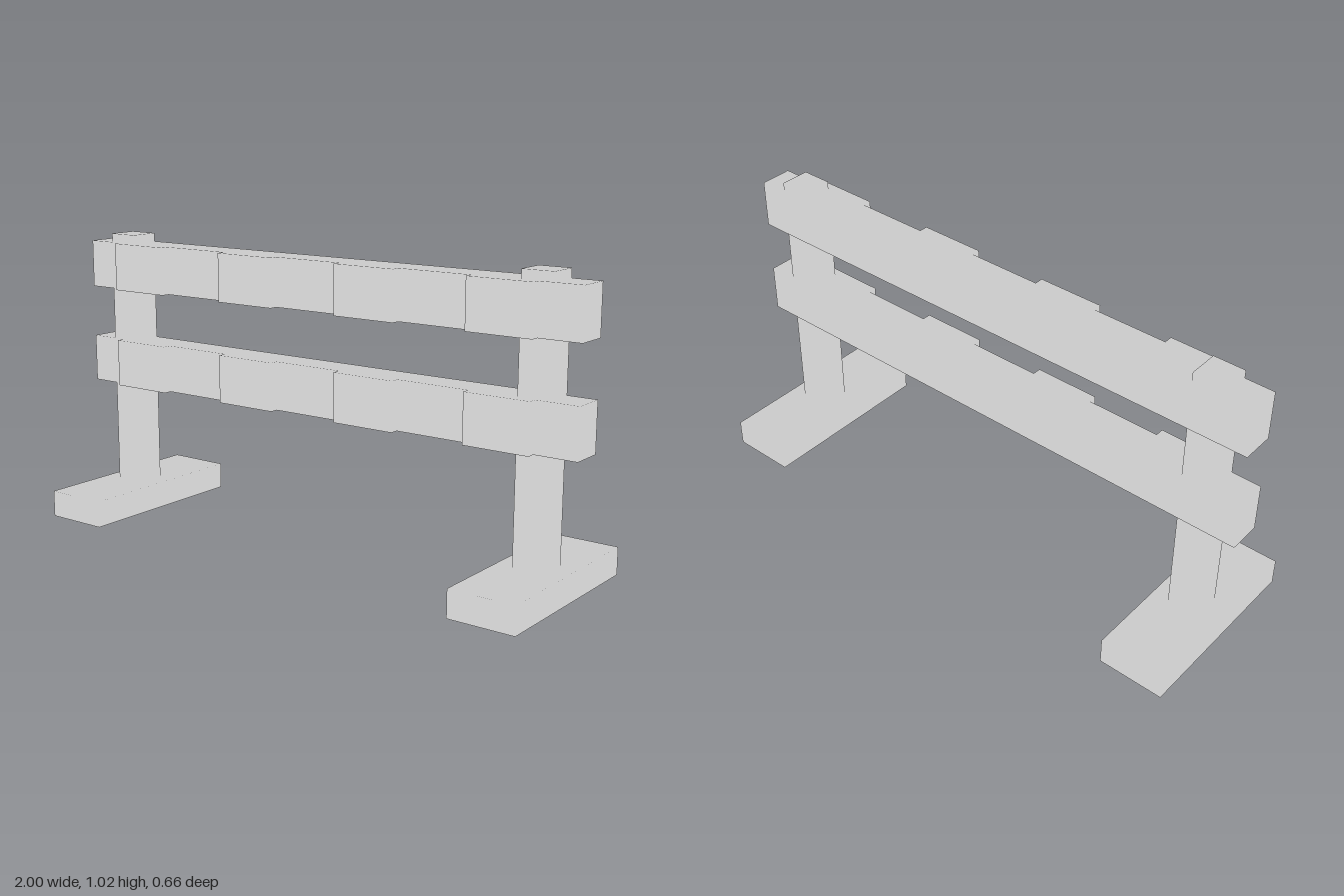
import * as THREE from 'three';

export function createModel() {
  const model = new THREE.Group();
  model.name = 'fence';
  const grey = new THREE.MeshStandardMaterial({ color: 0xcccccc });
  grey.name = 'plain grey';

  // Box given by its lower and upper limits on each axis
  function box(name, [x0, x1], [y0, y1], [z0, z1]) {
    const geometry = new THREE.BoxGeometry(x1 - x0, y1 - y0, z1 - z0);
    // All normals point up, so every side shades evenly
    const normals = geometry.attributes.normal;
    for (let i = 0; i < normals.count; i++) normals.setXYZ(i, 0, 1, 0);
    const mesh = new THREE.Mesh(geometry, grey);
    mesh.position.set((x0 + x1) / 2, (y0 + y1) / 2, (z0 + z1) / 2);
    mesh.name = name;
    model.add(mesh);
  }

  // Posts standing on long feet
  for (const [side, x] of [['right', -0.846], ['left', 0.846]]) {
    box(side + 'Foot', [x - 0.116, x + 0.116], [0, 0.094], [-0.33, 0.33]);
    box(side + 'Post', [x - 0.055, x + 0.055], [0.094, 1.016], [-0.053, 0.053]);
  }

  // Two rails, each with four raised panels on the front
  for (const [level, y] of [['lower', [0.463, 0.631]], ['upper', [0.816, 0.985]]]) {
    box(level + 'Rail', [-1, 1], y, [-0.058, 0.057]);
    for (const x of [-0.738, -0.246, 0.246, 0.738]) {
      box(level + 'RailPanel', [x - 0.115, x + 0.115], y, [0.057, 0.087]);
    }
  }
  return model;
}
